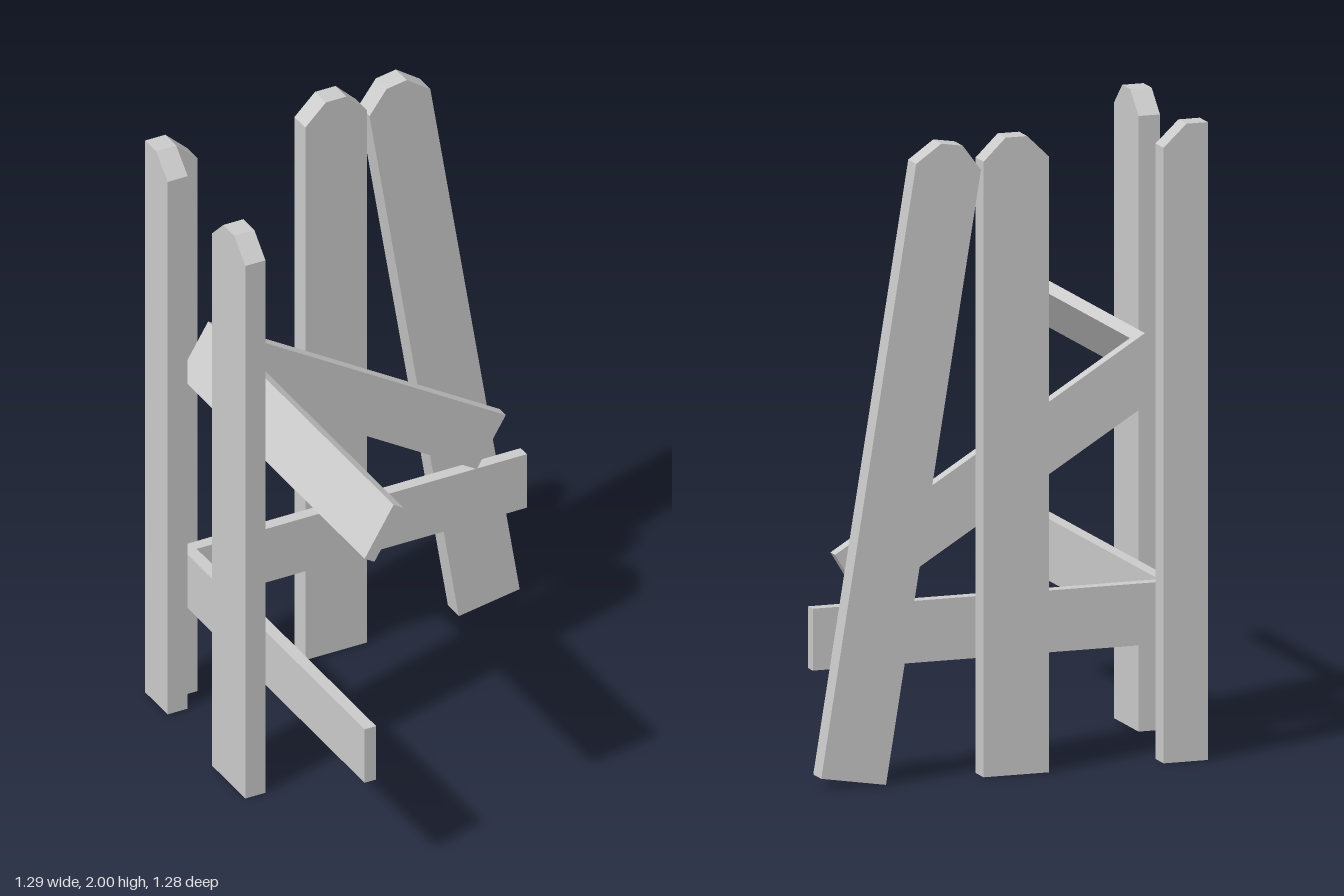
import * as THREE from 'three';

const material = new THREE.MeshStandardMaterial({
  color: 0xcccccc, flatShading: true, side: THREE.DoubleSide,
});
const THICK = 0.07, HEIGHT = 2, SHOULDER = 1.93;

function extrude(points, depth) {
  const shape = new THREE.Shape(points.map(([x, y]) => new THREE.Vector2(x, y)));
  return new THREE.ExtrudeGeometry(shape, { depth, bevelEnabled: false });
}

// Board standing on y = 0; the underside is left open
function boardGeometry(points) {
  const geometry = extrude(points, THICK).toNonIndexed();
  const p = geometry.getAttribute('position');
  const kept = [];
  for (let i = 0; i < p.count; i += 3) {
    const corners = [i, i + 1, i + 2];
    if (corners.every((k) => p.getY(k) < 1e-6)) continue;
    for (const k of corners) kept.push(p.getX(k), p.getY(k), p.getZ(k));
  }
  const open = new THREE.BufferGeometry();
  open.setAttribute('position', new THREE.Float32BufferAttribute(kept, 3));
  open.computeVertexNormals();
  return open;
}

// Picket with both top corners cut, its lower left corner at the origin
const picketGeometry = () => boardGeometry([
  [0, 0], [0.215, 0], [0.215, SHOULDER], [0.143, HEIGHT], [0.072, HEIGHT], [0, SHOULDER],
]);

// Two rails meeting at a right angle, outer corner at the origin
function railGeometry() {
  const outline = [[0, 0], [0, -1.2], [0.04, -1.2], [0.04, -0.04], [1.19, -0.04], [1.19, 0]];
  return extrude(outline, 0.194).rotateX(-Math.PI / 2);
}

export function createModel() {
  const fence = new THREE.Group();
  fence.name = 'brokenFenceCorner';

  function add(name, geometry, position, parent = fence) {
    const mesh = new THREE.Mesh(geometry, material);
    mesh.name = name;
    mesh.position.set(...position);
    parent.add(mesh);
    return mesh;
  }

  // Pickets: upright and leaning ones at the back, one on the side
  add('backPicket', picketGeometry(), [-0.105, 0, -0.64]);
  add('leaningPicket', picketGeometry(), [0.43, 0, -0.64]).rotation.z = 0.162;
  add('sidePicket', picketGeometry(), [-0.575, 0, -0.17]).rotation.y = -Math.PI / 2;

  // Corner post: two half pickets forming an L
  const post = new THREE.Group();
  post.name = 'cornerPost';
  fence.add(post);
  add('cornerPostBack', boardGeometry([
    [0, 0], [0.145, 0], [0.145, SHOULDER], [0.07, HEIGHT], [0, HEIGHT],
  ]), [-0.625, 0, -0.64], post);
  add('cornerPostSide', boardGeometry([
    [0, 0], [0.075, 0], [0.075, SHOULDER], [0, HEIGHT],
  ]), [-0.555, 0, -0.57], post).rotation.y = -Math.PI / 2;

  // Rails: the lower pair is level, the upper pair has slipped down
  add('lowerRail', railGeometry(), [-0.55, 0.358, -0.56]);
  add('upperRail', railGeometry(), [-0.55, 1.17, -0.56]).rotation.z = -0.548;

  return fence;
}
